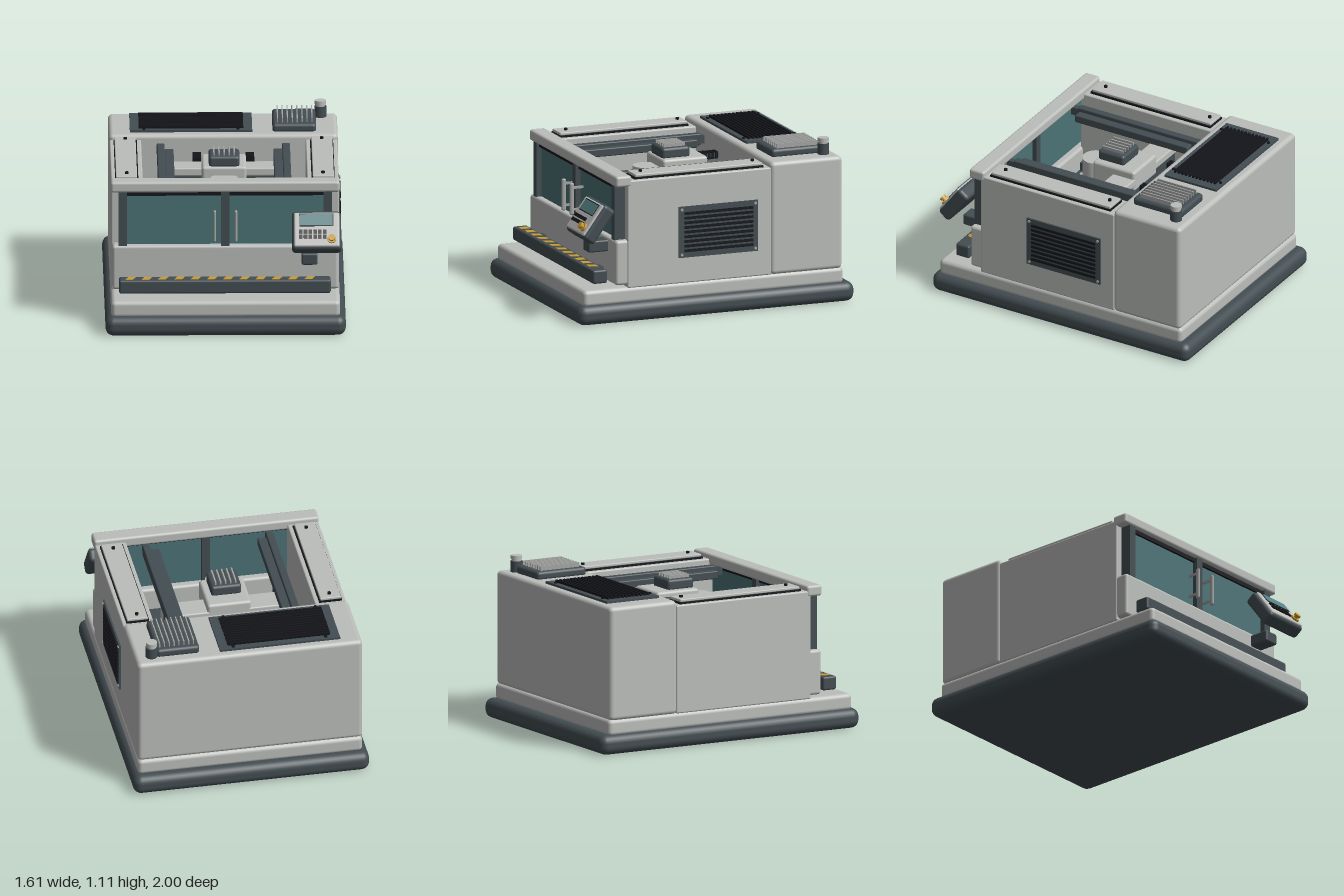
import * as THREE from 'three';
import { RoundedBoxGeometry } from 'three/addons/geometries/RoundedBoxGeometry.js';

const mat = (name, color) => {
  const m = new THREE.MeshStandardMaterial({ color });
  m.name = name;
  return m;
};

export function createModel() {
  const light = mat('light grey paint', 0xbcbebb);
  const dark = mat('dark slate', 0x434d52);
  const black = mat('black', 0x15161b);
  const steel = mat('steel', 0xa4a6a4);
  const glass = mat('teal glass', 0x4c7377);
  const screen = mat('screen teal', 0x558084);
  const yellow = mat('safety yellow', 0xc99c34);

  const model = new THREE.Group();
  model.name = 'millingMachine';
  const group = (name, parent = model) => {
    const g = new THREE.Group();
    g.name = name;
    parent.add(g);
    return g;
  };
  const put = (parent, name, geo, m, x, y, z) => {
    const mesh = new THREE.Mesh(geo, m);
    mesh.name = name;
    mesh.position.set(x, y, z);
    parent.add(mesh);
    return mesh;
  };
  // Box given by its limits on each axis, with an optional edge radius
  const box = (parent, name, m, x0, x1, y0, y1, z0, z1, r = 0) => {
    const s = [x1 - x0, y1 - y0, z1 - z0];
    const geo = r ? new RoundedBoxGeometry(...s, 3, r) : new THREE.BoxGeometry(...s);
    return put(parent, name, geo, m, (x0 + x1) / 2, (y0 + y1) / 2, (z0 + z1) / 2);
  };
  // Upright cylinder from y0 to y1
  const post = (parent, name, m, x, z, r, y0, y1, sides = 24) =>
    put(parent, name, new THREE.CylinderGeometry(r, r, y1 - y0, sides), m, x, (y0 + y1) / 2, z);

  // Plinth
  const base = group('base');
  box(base, 'foot', dark, -0.805, 0.805, 0, 0.135, -1, 1, 0.055);
  box(base, 'plinth', light, -0.767, 0.767, 0.12, 0.235, -0.93, 0.955, 0.03);

  // Enclosure
  const body = group('enclosure');
  box(body, 'rearCabinet', light, -0.767, 0.767, 0.225, 1, -0.92, -0.4, 0.03);
  box(body, 'floor', dark, -0.56, 0.56, 0.23, 0.4, -0.42, 0.63);
  for (const s of [-1, 1]) {
    const wall = (name, m, a, b, ...rest) => box(body, name, m, Math.min(s * a, s * b), Math.max(s * a, s * b), ...rest);
    wall('sideWall', light, 0.55, 0.763, 0.228, 0.965, -0.405, 0.635, 0.01);
    wall('lidGasket', black, 0.58, 0.735, 0.96, 0.977, -0.36, 0.575);
    wall('sideLid', light, 0.588, 0.73, 0.977, 0.997, -0.356, 0.566, 0.006);
    for (const z of [-0.31, 0.5]) post(body, 'lidScrew', black, s * 0.657, z, 0.012, 0.99, 1.01, 12);
  }
  box(body, 'topBeam', light, -0.767, 0.767, 0.925, 1, 0.605, 0.72, 0.018);
  box(body, 'lowerFront', light, -0.757, 0.757, 0.25, 0.556, 0.615, 0.718, 0.02);

  // Sliding doors
  const doors = group('doors');
  for (const x of [-0.687, 0, 0.687]) box(doors, 'doorPost', dark, x - 0.028, x + 0.028, 0.54, 0.94, 0.635, 0.71);
  for (const s of [-1, 1]) {
    const c = s * 0.343;
    box(doors, 'window', glass, c - 0.316, c + 0.316, 0.54, 0.905, 0.665, 0.674);
    box(doors, 'topSeal', black, c - 0.316, c + 0.316, 0.897, 0.93, 0.655, 0.69);
    const handle = put(doors, 'handle', new THREE.CapsuleGeometry(0.01, 0.2, 4, 12), steel, s * 0.071, 0.703, 0.755);
    handle.scale.z = 1.6;
    for (const y of [0.63, 0.78]) box(doors, 'handleMount', steel, s * 0.071 - 0.006, s * 0.071 + 0.006, y - 0.008, y + 0.008, 0.672, 0.75);
  }

  // Striped bumper
  const bumper = group('bumper');
  box(bumper, 'bumperBar', dark, -0.712, 0.705, 0.262, 0.355, 0.758, 0.862, 0.014);
  for (const x of [-0.5, 0.5]) box(bumper, 'bumperBracket', dark, x - 0.04, x + 0.04, 0.28, 0.335, 0.71, 0.77);
  const stripe = new THREE.Shape([[-0.035, -0.03], [0.015, -0.03], [0.035, 0.03], [-0.015, 0.03]].map(p => new THREE.Vector2(...p)));
  const stripeGeo = new THREE.ExtrudeGeometry(stripe, { depth: 0.005, bevelEnabled: false }).rotateX(-Math.PI / 2);
  for (let i = 0; i < 12; i++) put(bumper, 'hazardStripe', stripeGeo, yellow, -0.635 + i * 0.109, 0.353, 0.81);

  // Tilted control panel
  box(model, 'panelArm', dark, 0.51, 0.617, 0.458, 0.537, 0.7, 0.857, 0.012);
  const panel = group('controlPanel');
  panel.position.set(0.61, 0.685, 0.845);
  panel.rotation.x = -0.64;
  box(panel, 'panelHousing', dark, -0.165, 0.165, -0.137, 0.137, -0.052, 0.045, 0.025);
  box(panel, 'panelFace', light, -0.152, 0.152, -0.122, 0.122, 0.025, 0.055, 0.012);
  box(panel, 'screenFrame', black, -0.116, 0.112, 0.022, 0.112, 0.05, 0.057);
  box(panel, 'display', screen, -0.11, 0.106, 0.028, 0.106, 0.053, 0.06);
  for (let r = 0; r < 2; r++) for (let i = 0; i < 6; i++) {
    const x = -0.107 + i * 0.032, y = -0.018 - r * 0.035;
    box(panel, 'key', black, x - 0.012, x + 0.012, y - 0.012, y + 0.012, 0.05, 0.065);
  }
  const disc = (name, r, h, z) =>
    put(panel, name, new THREE.CylinderGeometry(r, r, h, 24).rotateX(Math.PI / 2), yellow, 0.1, -0.07, z);
  disc('stopButtonRing', 0.03, 0.014, 0.06);
  disc('stopButtonStem', 0.014, 0.03, 0.075);
  disc('stopButton', 0.023, 0.016, 0.087);

  // Side vent
  const vent = group('sideVent');
  box(vent, 'ventPlate', dark, 0.755, 0.775, 0.405, 0.755, -0.305, 0.268);
  for (let i = 0; i < 9; i++) {
    const y = 0.452 + i * 0.032;
    box(vent, 'ventSlat', black, 0.77, 0.782, y - 0.009, y + 0.009, -0.268, 0.228);
  }
  for (const y of [0.425, 0.735]) for (const z of [-0.285, 0.248])
    put(vent, 'ventScrew', new THREE.CylinderGeometry(0.01, 0.01, 0.012, 12).rotateZ(Math.PI / 2), steel, 0.776, y, z);

  // Roof intake grille
  const grille = group('roofGrille');
  box(grille, 'grillePlate', dark, -0.625, 0.195, 0.99, 1.015, -0.865, -0.46);
  for (let i = 0; i < 12; i++) {
    const z = -0.815 + i * 0.028;
    box(grille, 'grilleSlat', black, -0.565, 0.135, 1.01, 1.032, z - 0.007, z + 0.007);
  }
  for (const x of [-0.53, 0.1]) for (const z of [-0.842, -0.478]) post(grille, 'grilleScrew', black, x, z, 0.011, 1.01, 1.024, 12);

  // Roof cooler and signal lamp
  const cooler = group('roofCooler');
  box(cooler, 'coolerBlock', dark, 0.33, 0.623, 0.99, 1.052, -0.848, -0.468, 0.022);
  for (let i = 0; i < 8; i++) {
    const x = 0.365 + i * 0.033;
    box(cooler, 'coolerFin', steel, x - 0.004, x + 0.004, 1.04, 1.083, -0.81, -0.51);
  }
  const lamp = group('signalLamp');
  post(lamp, 'lampBase', dark, 0.655, -0.825, 0.04, 0.99, 1.075);
  post(lamp, 'lampLower', light, 0.655, -0.825, 0.033, 1.075, 1.09);
  post(lamp, 'lampCap', light, 0.655, -0.825, 0.038, 1.088, 1.113);

  // Work bed with slots, clamps and fixture
  const bed = group('workBed');
  box(bed, 'bedSlab', light, -0.335, 0.335, 0.38, 0.5, -0.2, 0.5);
  for (let i = 0; i < 5; i++) {
    const x = -0.233 + i * 0.104;
    box(bed, 'bedSlot', black, x - 0.008, x + 0.008, 0.495, 0.503, -0.1, 0.49);
  }
  for (const s of [-1, 1]) {
    box(bed, 'clamp', dark, s * 0.258 - 0.031, s * 0.258 + 0.031, 0.49, 0.56, 0.1, 0.39, 0.012);
    post(bed, 'clampBolt', black, s * 0.258, 0.245, 0.014, 0.55, 0.568, 12);
  }
  box(bed, 'fixturePlate', light, -0.155, 0.155, 0.49, 0.54, 0.08, 0.365);
  for (const x of [-0.09, 0.09]) for (const z of [0.155, 0.3]) post(bed, 'fixtureHole', black, x, z, 0.036, 0.535, 0.545);

  // Bellows tracks and upper rails on both sides
  for (const s of [-1, 1]) {
    const side = group(s < 0 ? 'rightRail' : 'leftRail');
    box(side, 'track', light, s * 0.485 - 0.045, s * 0.485 + 0.045, 0.39, 0.45, -0.39, 0.53);
    for (let i = 0; i < 10; i++) {
      const z = -0.345 + i * 0.099;
      box(side, 'trackBlock', dark, s * 0.485 - 0.042, s * 0.485 + 0.042, 0.44, 0.5, z - 0.028, z + 0.028);
    }
    box(side, 'outerRail', dark, s * 0.42 - 0.026, s * 0.42 + 0.026, 0.87, 0.95, -0.375, 0.565, 0.008);
    box(side, 'innerRail', dark, s * 0.365 - 0.031, s * 0.365 + 0.031, 0.87, 0.925, -0.325, 0.55, 0.008);
    for (const z of [-0.39, 0.585]) box(side, 'railEnd', dark, s * 0.42 - 0.02, s * 0.42 + 0.02, 0.88, 0.935, z - 0.035, z + 0.035);
    // Stepped cable guides on the back wall
    for (let k = 0; k < 5; k++) {
      const z = -0.385 + k * 0.026;
      box(side, 'cableGuide', black, s * 0.178 - 0.028, s * 0.178 + 0.028, 0.83, 0.88, z - 0.009, z + 0.009);
    }
    box(side, 'cableGuideCore', dark, s * 0.178 - 0.024, s * 0.178 + 0.024, 0.84, 0.87, -0.41, -0.275);
  }

  // Gantry and spindle
  const gantry = group('gantry');
  box(gantry, 'gantryTop', light, -0.43, 0.43, 0.82, 0.875, -0.2, -0.03, 0.01);
  box(gantry, 'gantryBeam', dark, -0.42, 0.42, 0.69, 0.825, -0.185, -0.035, 0.01);
  box(gantry, 'spindleHead', light, -0.15, 0.15, 0.78, 0.93, -0.2, 0.125, 0.02);
  box(gantry, 'spindleMotor', dark, -0.103, 0.103, 0.92, 0.998, -0.09, 0.112, 0.02);
  for (let i = 0; i < 5; i++) {
    const x = -0.068 + i * 0.034;
    box(gantry, 'motorFin', steel, x - 0.005, x + 0.005, 0.985, 1.02, -0.065, 0.09);
  }
  post(gantry, 'spindle', light, 0, 0.185, 0.093, 0.66, 0.87, 32);
  box(gantry, 'spindleMount', light, -0.08, 0.08, 0.7, 0.82, -0.05, 0.15);
  put(gantry, 'spindleNose', new THREE.CylinderGeometry(0.06, 0.03, 0.06, 24), dark, 0, 0.63, 0.185);
  post(gantry, 'cutter', steel, 0, 0.185, 0.012, 0.55, 0.61, 12);

  // Tool carousel
  const carousel = group('toolCarousel');
  post(carousel, 'carouselDisc', dark, 0.365, -0.27, 0.125, 0.6, 0.64, 32);
  post(carousel, 'carouselShaft', dark, 0.365, -0.27, 0.04, 0.39, 0.61);
  for (let i = 0; i < 8; i++) {
    const a = (i / 8) * Math.PI * 2;
    post(carousel, 'tool', steel, 0.365 + 0.088 * Math.cos(a), -0.27 + 0.088 * Math.sin(a), 0.016, 0.56, 0.665, 12);
  }
  return model;
}
